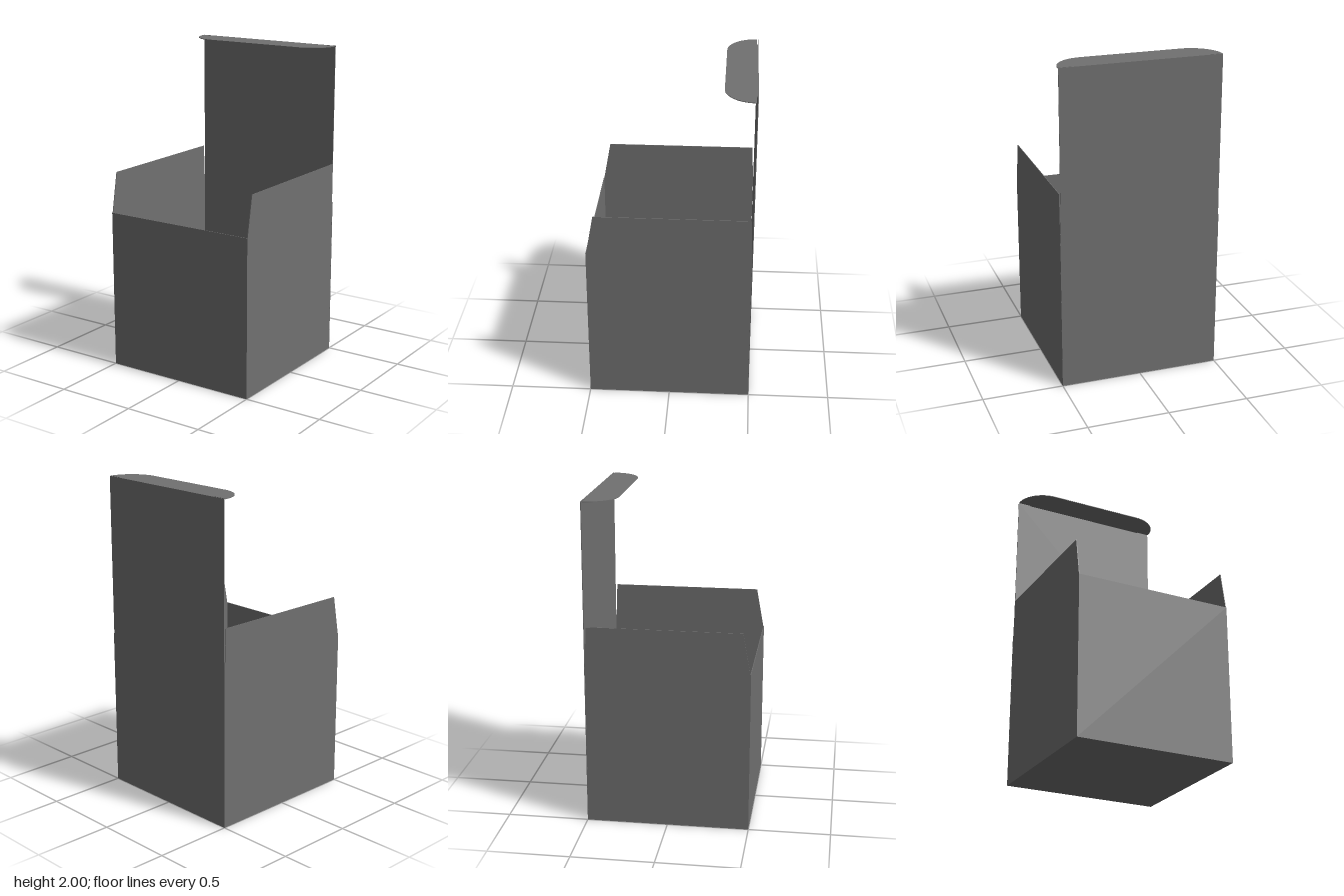
import * as THREE from 'three';

const T = 0.004; // board thickness
const material = new THREE.MeshStandardMaterial({ color: 0x707070 });

function polygon(points) {
  return new THREE.Shape(points.map(([x, y]) => new THREE.Vector2(x, y)));
}

function rect(x0, y0, x1, y1) {
  return polygon([[x0, y0], [x1, y0], [x1, y1], [x0, y1]]);
}

export function createModel() {
  const carton = new THREE.Group();
  carton.name = 'openCarton';

  // A flat sheet of board cut to an outline
  function panel(name, shape, position, rotation = [0, 0, 0]) {
    const geometry = new THREE.ExtrudeGeometry(shape, { depth: T, bevelEnabled: false, curveSegments: 20 });
    const mesh = new THREE.Mesh(geometry, material);
    mesh.name = name;
    mesh.position.set(...position);
    mesh.rotation.set(...rotation);
    carton.add(mesh);
  }

  // Base, front wall and tall back wall
  panel('base', rect(-0.5 + T, -0.5 + T, 0.5 - T, 0.5 - T), [0, T, 0], [Math.PI / 2, 0, 0]);
  panel('frontWall', rect(-0.5, 0, 0.5, 1), [0, 0, 0.5 - T]);
  panel('backWall', polygon([
    [-0.5, 0], [0.5, 0], [0.5, 1], [0.496, 1], [0.496, 2 - T], [-0.496, 2 - T], [-0.496, 1], [-0.5, 1],
  ]), [0, 0, -0.5]);

  // Side walls, each continuing into a tapered dust flap
  const side = polygon([
    [-0.5 + T, 0], [0.5 - T, 0], [0.5 - T, 1], [0.45, 1.25], [-0.485, 1.25], [-0.495, 1],
  ]);
  panel('leftWall', side, [0.5, 0, 0], [0, -Math.PI / 2, 0]);
  panel('rightWall', side, [-0.5 + T, 0, 0], [0, -Math.PI / 2, 0]);

  // Tuck flap with rounded corners and a short slit at each end of its fold
  const flap = new THREE.Shape();
  flap.moveTo(-0.496, -0.5);
  flap.lineTo(0.496, -0.5);
  flap.lineTo(0.496, -0.496);
  flap.lineTo(0.41, -0.496);
  flap.lineTo(0.41, -0.49);
  flap.lineTo(0.496, -0.49);
  flap.absellipse(0.306, -0.49, 0.19, 0.182, 0, Math.PI / 2, false, 0);
  flap.lineTo(-0.306, -0.308);
  flap.absellipse(-0.306, -0.49, 0.19, 0.182, Math.PI / 2, Math.PI, false, 0);
  flap.lineTo(-0.41, -0.49);
  flap.lineTo(-0.41, -0.496);
  flap.lineTo(-0.496, -0.496);
  panel('tuckFlap', flap, [0, 2, 0], [Math.PI / 2, 0, 0]);

  return carton;
}
